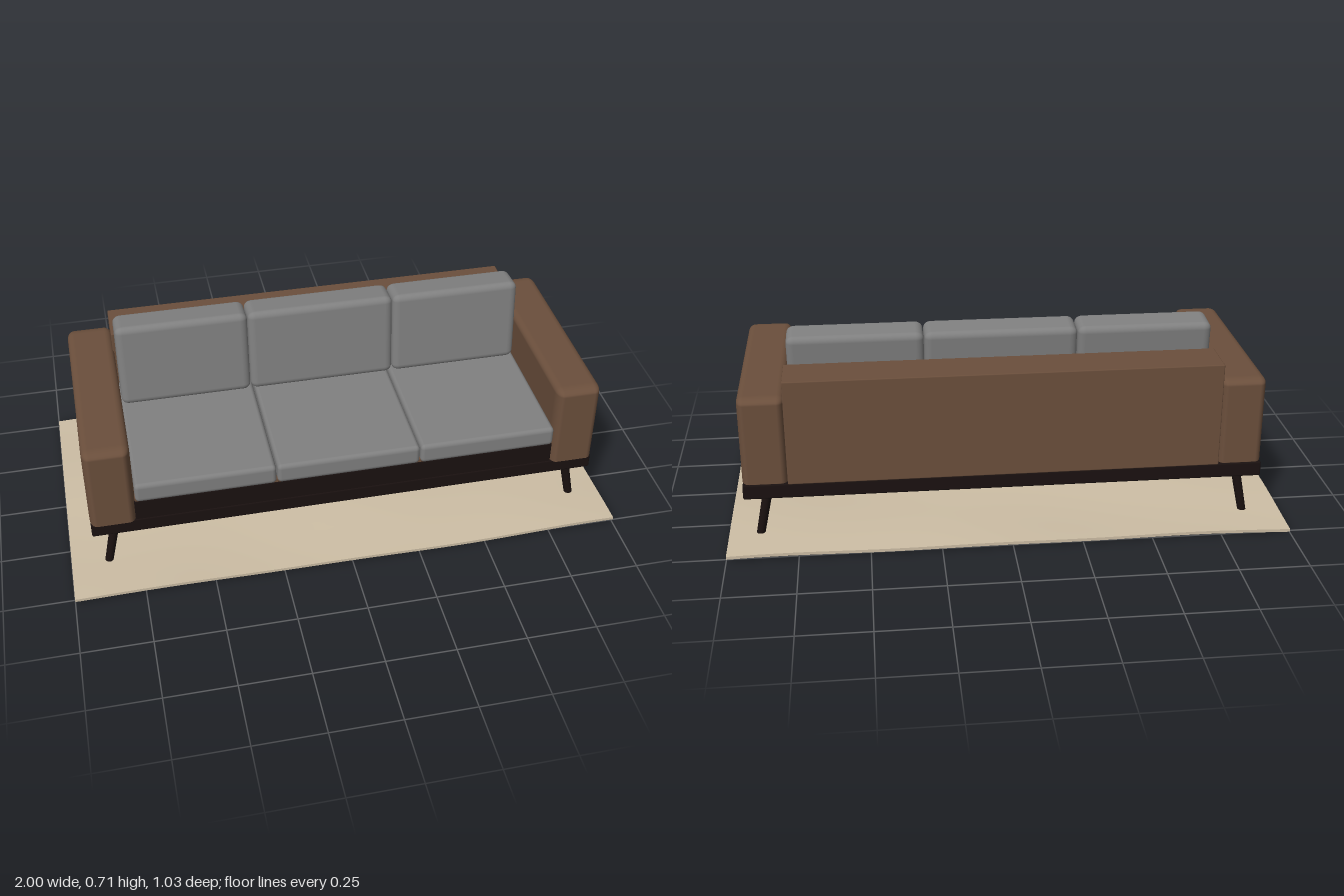
import * as THREE from 'three';
import { RoundedBoxGeometry } from 'three/addons/geometries/RoundedBoxGeometry.js';

const material = (color) => new THREE.MeshStandardMaterial({ color });

export function createModel() {
  const model = new THREE.Group();
  const fabric = material(0x808080);
  const leather = material(0x6b4f3c);
  const darkWood = material(0x1a1110);
  const wool = material(0xcdbea5);
  const CX = 0.0125; // sofa centre on x

  const add = (name, geometry, mat, parent = model) => {
    const mesh = new THREE.Mesh(geometry, mat);
    mesh.name = name;
    parent.add(mesh);
    return mesh;
  };

  // Box given by its limits, with elliptical edge rounding [rx, ry, rz]
  const softBox = (name, mat, x, y, z, [rx, ry, rz], segments = 3, parent = model) => {
    const r = 0.03;
    const s = [rx / r, ry / r, rz / r];
    const g = new RoundedBoxGeometry((x[1] - x[0]) / s[0], (y[1] - y[0]) / s[1], (z[1] - z[0]) / s[2], segments, r);
    g.scale(...s);
    const mesh = add(name, g, mat, parent);
    mesh.position.set((x[0] + x[1]) / 2, (y[0] + y[1]) / 2, (z[0] + z[1]) / 2);
    return mesh;
  };

  // Rug: thin slab with gentle ripples
  const rugGeo = new THREE.BoxGeometry(2, 0.011, 1.03, 60, 1, 30);
  const p = rugGeo.attributes.position;
  for (let i = 0; i < p.count; i++) {
    const x = p.getX(i), z = p.getZ(i);
    const wave = 0.0035 * Math.sin(4.5 * x + 5 * z + 0.6) + 0.003 * Math.sin(9 * z - 3 * x) + 0.002 * Math.sin(8 * x + 1);
    p.setY(i, p.getY(i) + 0.016 + wave);
  }
  rugGeo.computeVertexNormals();
  add('rug', rugGeo, wool);

  // Base frame and the front rail between the arms
  softBox('baseFrame', darkWood, [-0.913, 0.938], [0.173, 0.228], [-0.39, 0.375], [0.006, 0.006, 0.006], 1);
  softBox('seatRail', darkWood, [-0.755, 0.78], [0.22, 0.308], [-0.3, 0.372], [0.004, 0.004, 0.004], 1);
  softBox('seatDeck', leather, [-0.752, 0.777], [0.3, 0.322], [-0.3, 0.37], [0.004, 0.004, 0.004], 1);

  // Legs: four splayed at the corners, one straight in the middle
  const leg = (name, top, bottom) => {
    const a = new THREE.Vector3(...top), b = new THREE.Vector3(...bottom);
    const dir = a.clone().sub(b);
    const mesh = add(name, new THREE.CylinderGeometry(0.017, 0.015, dir.length(), 16), darkWood);
    mesh.position.copy(a).add(b).multiplyScalar(0.5);
    mesh.quaternion.setFromUnitVectors(new THREE.Vector3(0, 1, 0), dir.normalize());
  };
  for (const side of [-1, 1])
    for (const [where, z] of [['front', 0.332], ['back', -0.355]])
      leg(`${where}${side > 0 ? 'Left' : 'Right'}Leg`, [CX + side * 0.843, 0.18, z], [CX + side * 0.877, 0.016, z]);
  leg('middleLeg', [CX, 0.18, -0.01], [CX, 0.016, -0.01]);

  // Arms, softened more along the top than at the bottom
  for (const side of [-1, 1]) {
    const x = CX + side * 0.845;
    const arm = softBox(side > 0 ? 'leftArm' : 'rightArm', leather, [x - 0.082, x + 0.082], [0.225, 0.55], [-0.39, 0.39], [0.026, 0.022, 0.045], 3);
    const a = arm.geometry.attributes.position;
    for (let i = 0; i < a.count; i++) {
      const y = a.getY(i);
      if (y < -0.14) a.setY(i, -0.1625 + Math.max(0, y + 0.1625) * 0.3);
    }
  }

  // Backrest panel
  softBox('backrest', leather, [-0.755, 0.78], [0.225, 0.612], [-0.39, -0.225], [0.004, 0.004, 0.004], 1);

  // Seat and back cushions
  const seats = [[-0.75, -0.251], [-0.247, 0.27], [0.274, 0.773]];
  const backs = [[-0.745, -0.262], [-0.26, 0.284], [0.286, 0.768]];
  for (let i = 0; i < 3; i++) {
    softBox(`seatCushion${i + 1}`, fabric, seats[i], [0.32, 0.398], [-0.23, 0.395], [0.015, 0.018, 0.014]);
    const back = softBox(`backCushion${i + 1}`, fabric, backs[i], [0.388, 0.71], [-0.208, -0.083], [0.028, 0.025, 0.022]);
    back.rotation.x = -0.085;
  }

  return model;
}
